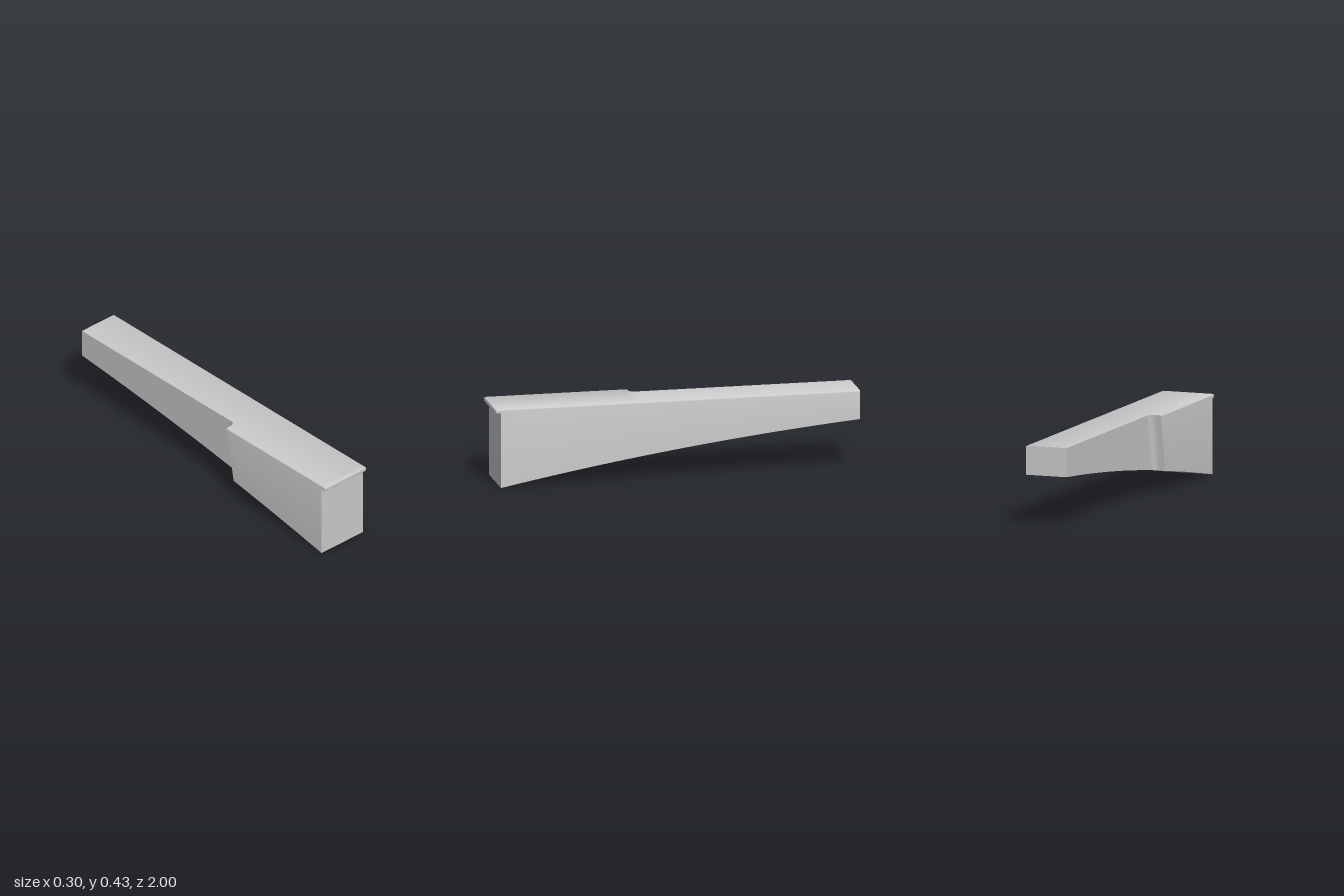
import * as THREE from 'three';
import { toCreasedNormals } from 'three/addons/utils/BufferGeometryUtils.js';

const HALF = 0.15, TOP = 0.433, ROUND = 0.008;
const BACK = -1, FRONT = 0.97, TIP = 1, LIP_BOTTOM = 0.408;
const NARROW_X = -0.085, STEP_Z = 0.215, FILLET = 0.033;

// Curved underside: height at a given z
const underside = (z) => {
  const t = (FRONT - z) / (FRONT - BACK);
  return 0.386 * t - 0.111 * t * t;
};

// Rectangle outline with one radius per corner, counterclockwise from bottom left
function outline(x0, x1, y0, y1, radii, steps = 4) {
  const corners = [[x0, y0, 1, 1], [x1, y0, -1, 1], [x1, y1, -1, -1], [x0, y1, 1, -1]];
  return corners.flatMap(([x, y, sx, sy], c) => {
    const r = radii[c], points = [];
    for (let i = 0; i <= steps; i++) {
      const a = Math.PI + (c + i / steps) * Math.PI / 2;
      points.push([x + sx * r + r * Math.cos(a), y + sy * r + r * Math.sin(a)]);
    }
    return points;
  });
}

// Skin a list of sections (arrays of Vector3, back to front) and cap both ends
function loft(name, sections) {
  const pos = [], ab = new THREE.Vector3(), ac = new THREE.Vector3();
  const tri = (a, b, c) => {
    ab.subVectors(b, a);
    ac.subVectors(c, a);
    if (ab.cross(ac).length() > 1e-10) for (const p of [a, b, c]) pos.push(p.x, p.y, p.z);
  };
  const n = sections[0].length;
  for (let i = 0; i + 1 < sections.length; i++) {
    const s = sections[i], t = sections[i + 1];
    for (let j = 0; j < n; j++) {
      const k = (j + 1) % n;
      tri(s[j], s[k], t[k]);
      tri(s[j], t[k], t[j]);
    }
  }
  const first = sections[0], last = sections[sections.length - 1];
  for (let j = 1; j + 1 < n; j++) {
    tri(first[0], first[j + 1], first[j]);
    tri(last[0], last[j], last[j + 1]);
  }
  const geometry = new THREE.BufferGeometry();
  geometry.setAttribute('position', new THREE.Float32BufferAttribute(pos, 3));
  const mesh = new THREE.Mesh(
    toCreasedNormals(geometry, 0.6),
    new THREE.MeshStandardMaterial({ color: 0xcccccc })
  );
  mesh.name = name;
  return mesh;
}

// Body section; around the notch it leans forward towards the bottom
function bodySection(s, left, leftRound) {
  const lean = 0.187 * Math.max(0, 1 - Math.abs(s - STEP_Z) / 0.6);
  const zAt = (y) => s + lean * (TOP - y);
  let bottom = underside(s);
  for (let i = 0; i < 3; i++) bottom = underside(zAt(bottom));
  return outline(left, HALF, bottom, TOP, [0, 0, ROUND, leftRound])
    .map(([x, y]) => new THREE.Vector3(x, y, zAt(y)));
}

function createBody() {
  const sections = [];
  const filletStart = STEP_Z - FILLET;
  // narrow rear
  for (let i = 0; i < 20; i++) {
    sections.push(bodySection(THREE.MathUtils.lerp(BACK, filletStart, i / 20), NARROW_X, 0));
  }
  // concave fillet into the step
  for (let i = 0; i <= 6; i++) {
    const a = i / 6 * Math.PI / 2;
    sections.push(bodySection(
      filletStart + FILLET * Math.sin(a),
      NARROW_X - FILLET + FILLET * Math.cos(a), 0
    ));
  }
  // wide front
  for (let i = 0; i <= 14; i++) {
    sections.push(bodySection(THREE.MathUtils.lerp(STEP_Z, FRONT, i / 14), -HALF, ROUND));
  }
  return loft('keyBody', sections);
}

// Overhanging front lip with rounded edges
function createLip() {
  const section = (z, inset, r) =>
    outline(-HALF + inset, HALF - inset, LIP_BOTTOM + inset, TOP - inset, [r, r, r, r])
      .map(([x, y]) => new THREE.Vector3(x, y, z));
  const sections = [section(FRONT, 0, ROUND)];
  for (let i = 0; i <= 5; i++) {
    const a = i / 5 * Math.PI / 2;
    sections.push(section(
      TIP - ROUND + ROUND * Math.sin(a),
      ROUND * (1 - Math.cos(a)), ROUND * Math.cos(a)
    ));
  }
  return loft('frontLip', sections);
}

export function createModel() {
  const group = new THREE.Group();
  group.name = 'pianoKey';
  group.add(createBody(), createLip());
  return group;
}
